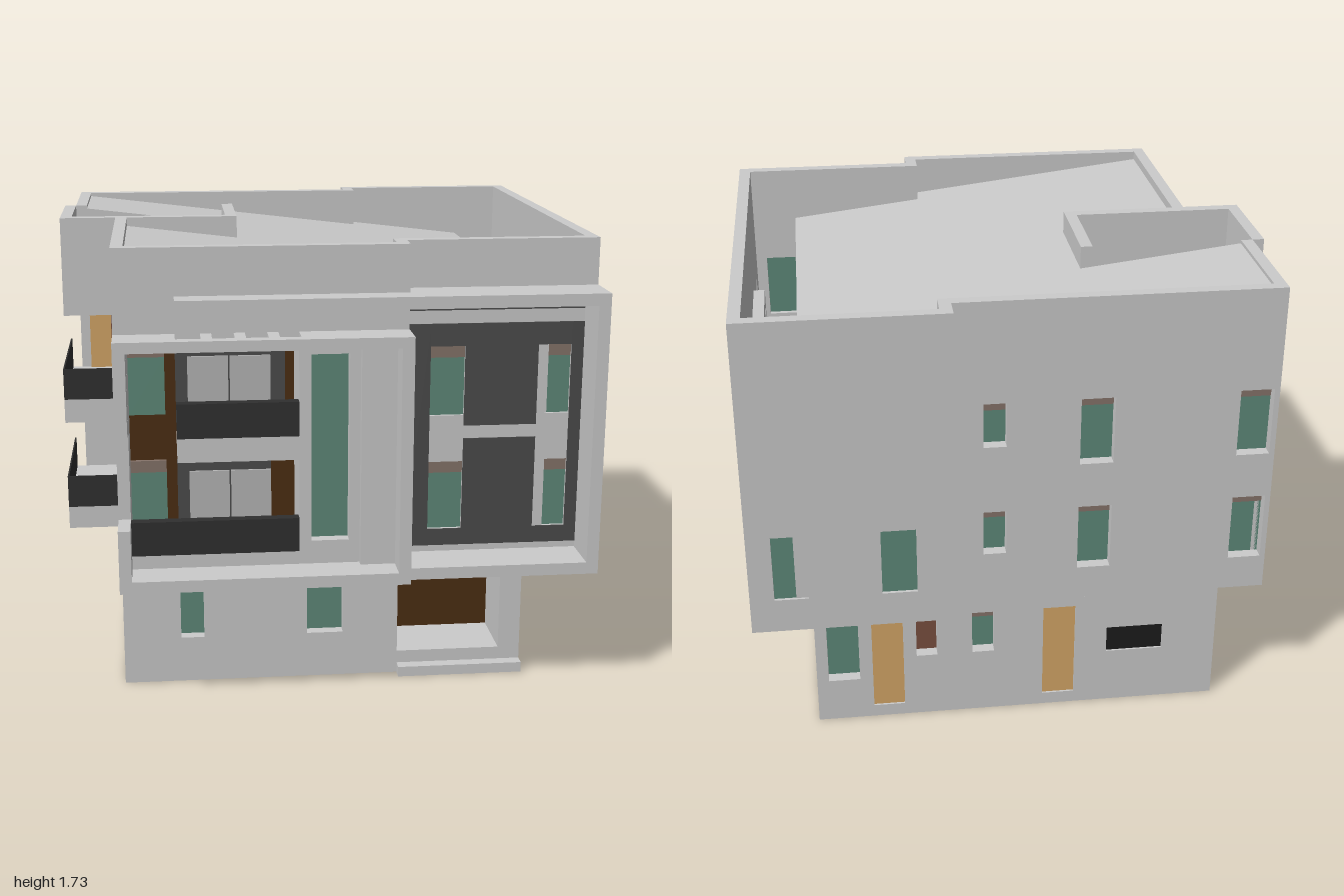
import * as THREE from 'three';

const GREY = 0xcccccc, GREEN = 0x5f8a7a, DARKGLASS = 0x2e3c38, BROWN = 0x4c2e12, JAMB = 0x86746a;
const TAN = 0xd6a868, RED = 0x7a5040, CHAR = 0x4c4c4c, RAIL = 0x303030, BLACK = 0x1c1c1c;
const FLUSH = [DARKGLASS, TAN, BLACK]; // panes set close to the wall face
const T = 0.045; // wall thickness

export function createModel() {
  const root = new THREE.Group();
  root.name = 'house';
  const mats = {};
  const mat = c => (mats[c] ??= new THREE.MeshStandardMaterial({ color: c }));

  function add(name, geo, color = GREY) {
    const m = new THREE.Mesh(geo, mat(color));
    m.name = name;
    root.add(m);
    return m;
  }
  // Box from min/max limits
  function box(name, x0, x1, y0, y1, z0, z1, color) {
    const g = new THREE.BoxGeometry(x1 - x0, y1 - y0, z1 - z0);
    g.translate((x0 + x1) / 2, (y0 + y1) / 2, (z0 + z1) / 2);
    return add(name, g, color);
  }
  // Wall with real openings. axis: normal axis, n: outward sign, pos: outer plane.
  // opening: [u0, u1, y0, y1, glass colour or null, strip side, strip colour]
  function wall(name, axis, n, pos, u0, u1, y0, y1, openings = [], reveal = T) {
    const s = axis === 'x' ? -1 : 1;
    const rect = (P, a, b, c, d) => {
      const p = new P();
      p.moveTo(a * s, c); p.lineTo(b * s, c); p.lineTo(b * s, d); p.lineTo(a * s, d); p.closePath();
      return p;
    };
    const shape = rect(THREE.Shape, u0, u1, y0, y1);
    for (const [a, b, c, d] of openings) shape.holes.push(rect(THREE.Path, a, b, c, d));
    const g = new THREE.ExtrudeGeometry(shape, { depth: T, bevelEnabled: false });
    if (axis === 'x') g.rotateY(Math.PI / 2);
    const off = n > 0 ? pos - T : pos;
    g.translate(axis === 'x' ? off : 0, 0, axis === 'z' ? off : 0);
    add(name, g);
    const pane = (label, a, b, c, d, color, depth) => {
      const p = pos - n * depth, q = p - n * 0.012;
      const lo = Math.min(p, q), hi = Math.max(p, q);
      if (axis === 'x') box(label, lo, hi, c, d, a, b, color);
      else box(label, a, b, c, d, lo, hi, color);
    };
    for (const [a, b, c, d, color, side, sc = JAMB] of openings) {
      if (color == null) continue;
      const depth = FLUSH.includes(color) ? 0.008 : reveal;
      pane('windowPane', a, b, c, d, color, depth);
      if (side === 't') pane('windowHead', a, b, d - T, d, sc, depth - 0.004);
      if (side === 'b') pane('windowSill', a, b, c, c + T, sc, depth - 0.004);
      if (side === 'l') pane('windowJamb', a, a + T, c, d, sc, depth - 0.004);
      if (side === 'r') pane('windowJamb', b - T, b, c, d, sc, depth - 0.004);
    }
  }

  // Ground floor walls
  wall('groundFrontWall', 'z', 1, 0.645, -0.78, 0.775, 0, 0.49, [
    [-0.56, -0.47, 0.18, 0.45, GREEN], [-0.07, 0.07, 0.18, 0.45, GREEN], [0.285, 0.69, 0.09, 0.45, null]]);
  wall('groundBackWall', 'z', -1, -0.865, -0.78, 0.775, 0, 0.49, [
    [0.61, 0.73, 0.18, 0.45, GREEN, 't'], [0.44, 0.56, 0.05, 0.45, TAN], [0.31, 0.39, 0.27, 0.45, RED, 't'],
    [0.09, 0.175, 0.27, 0.45, GREEN, 't'], [-0.225, -0.1, 0.05, 0.45, TAN], [-0.57, -0.35, 0.23, 0.34, BLACK]]);
  wall('groundLeftWall', 'x', 1, 0.775, -0.865 + T, 0.645 - T, 0, 0.49, [
    [0.2, 0.29, 0.27, 0.45, GREEN, 'l'], [-0.065, 0.07, 0.18, 0.45, GREEN, 'l'],
    [-0.33, -0.2, 0.18, 0.45, GREEN, 'l'], [-0.69, -0.55, 0.18, 0.45, GREEN]]);
  wall('groundRightWall', 'x', -1, -0.78, -0.865 + T, 0.645 - T, 0, 0.49);
  box('groundSlab', -0.735, 0.73, 0.045, 0.09, -0.82, 0.6);
  // Foundation ribs under the slab
  box('foundationRib', 0.09, 0.135, 0, 0.045, -0.82, 0.6);
  box('foundationRib', -0.735, 0.09, 0, 0.045, -0.32, -0.275);
  box('foundationRib', 0.135, 0.73, 0, 0.045, 0.27, 0.315);
  box('foundationRib', 0.135, 0.73, 0, 0.045, -0.1, -0.055);
  // Entrance recess and step
  box('entranceStep', 0.285, 0.775, 0, 0.04, 0.645, 0.69);
  box('entranceBack', 0.285, 0.73, 0.09, 0.49, 0.36, 0.4, BROWN);
  box('entranceSide', 0.24, 0.285, 0.09, 0.49, 0.36, 0.6);
  box('entranceSide', 0.69, 0.73, 0.09, 0.49, 0.4, 0.6);
  box('entranceDoor', 0.285, 0.295, 0.09, 0.4, 0.43, 0.56, TAN);

  // Slab carrying the upper floors
  for (const [x0, x1, z0, z1] of [[-0.955, 0.955, -0.865, -0.38], [-0.34, 0.955, -0.38, 0.02], [-0.78, 0.955, 0.02, 0.73],
    [0.24, 0.955, -0.955, -0.865], [-0.78, 0.285, 0.73, 0.82], [0.285, 1, 0.73, 0.91]])
    box('upperFloorSlab', x0, x1, 0.49, 0.535, z0, z1);

  // Upper back walls
  const lowHigh = (a, b, hi, lo) => [[a, b, ...hi, GREEN, 't'], [a, b, ...lo, GREEN, 't']];
  wall('upperBackWall', 'z', -1, -0.865, -0.955, 0.285, 0.535, 1.73, [
    ...lowHigh(0.045, 0.13, [1.16, 1.335], [0.71, 0.89]),
    ...lowHigh(-0.35, -0.225, [1.07, 1.335], [0.625, 0.89]),
    ...lowHigh(-0.935, -0.81, [1.07, 1.335], [0.625, 0.89])]);
  wall('upperBackBay', 'z', -1, -0.955, 0.24, 1, 0.535, 1.73, [
    [0.785, 0.91, 0.625, 0.89, GREEN, 'l', GREY], [0.385, 0.515, 0.625, 0.89, GREEN]], 0.012);
  box('bayCorner', 0.955, 1, 0.49, 0.535, -0.955, -0.91);
  box('backBayReturn', 0.24, 0.285, 0.535, 1.73, -0.91, -0.865);

  // Upper side walls
  const sideWindows = (a, b) => [[a, b, 1.07, 1.29, DARKGLASS, 'b', BLACK], [a, b, 0.625, 0.89, DARKGLASS, 'b', BLACK]];
  wall('upperLeftWall', 'x', 1, 1, -0.91, 0.73, 0.49, 1.73, [
    ...sideWindows(0.335, 0.555), ...sideWindows(-0.775, -0.55), [-0.38, 0.155, 0.491, 1.335, null]]);
  wall('recessedPanel', 'x', 1, 0.955, -0.42, 0.2, 0.535, 1.38, [
    [0.07, 0.155, 1.16, 1.335, GREEN, 'r'], [0.07, 0.155, 0.71, 0.89, GREEN, 'r'],
    ...lowHigh(-0.285, -0.2, [1.16, 1.335], [0.71, 0.89])], 0.012);
  for (const [y0, y1] of [[1.115, 1.29], [0.67, 0.89]])
    box('windowMullion', 0.98, 0.997, y0, y1, -0.735, -0.69);
  box('blindBox', 0.98, 0.997, 0.85, 0.89, 0.335, 0.51, 0x8a8a8a);
  wall('upperRightFrontWall', 'x', -1, -0.78, 0.02, 0.82, 0.535, 1.73, sideWindows(0.335, 0.555));
  wall('upperRightBackWall', 'x', -1, -0.955, -0.82, -0.38, 0.535, 1.73, sideWindows(-0.775, -0.55));

  // Upper front walls
  wall('upperFrontWall', 'z', 1, 0.82, -0.735, 0.285, 0.535, 1.73, [
    [-0.7349, -0.115, 0.536, 1.38, null], [-0.07, 0.07, 0.625, 1.335, GREEN]]);
  box('frontReturn', 0.24, 0.285, 0.535, 1.73, 0.685, 0.775);
  wall('upperFrontBay', 'z', 1, 0.73, 0.285, 0.955, 0.535, 1.73, [
    ...lowHigh(0.38, 0.51, [1.07, 1.335], [0.625, 0.89]),
    ...lowHigh(0.785, 0.91, [1.07, 1.335], [0.625, 0.89])], 0.012);
  // Dark cladding around the bay windows
  for (const [x0, x1] of [[0.285, 0.38], [0.91, 0.955]]) box('darkCladding', x0, x1, 0.56, 1.42, 0.73, 0.735, CHAR);
  for (const [y0, y1] of [[0.56, 0.98], [1.03, 1.42]]) box('darkCladding', 0.51, 0.785, y0, y1, 0.73, 0.735, CHAR);
  for (const [x0, x1] of [[0.38, 0.51], [0.785, 0.91]]) {
    box('darkCladding', x0, x1, 1.335, 1.42, 0.73, 0.735, CHAR);
    box('darkCladding', x0, x1, 0.56, 0.625, 0.73, 0.735, CHAR);
  }
  for (const [y0, y1] of [[0.625, 0.89], [1.07, 1.335]])
    box('windowMullion', 0.785, 0.825, y0, y1, 0.715, 0.727);
  box('claddingTop', 0.285, 0.955, 1.47, 1.51, 0.73, 0.735, CHAR);

  // Bay surround and canopy
  box('bayFin', 0.955, 1, 0.535, 1.51, 0.73, 0.91);
  box('canopy', 0.285, 1, 1.51, 1.555, 0.73, 0.91);
  box('canopy', -0.56, 0.285, 1.51, 1.555, 0.82, 0.91);

  // Projecting frame around the front balcony
  box('frameBottom', -0.78, 0.285, 0.49, 0.535, 0.82, 0.955);
  box('frameSide', 0.24, 0.285, 0.535, 1.42, 0.82, 0.955);
  box('frameSide', -0.78, -0.735, 0.535, 0.73, 0.82, 0.955);
  box('frameSide', -0.78, -0.735, 1.07, 1.42, 0.82, 0.955);
  box('frameTop', -0.735, 0.24, 1.38, 1.42, 0.91, 0.955);
  box('frameTop', -0.735, -0.56, 1.38, 1.42, 0.82, 0.91);
  box('frameTop', -0.115, 0.24, 1.38, 1.42, 0.82, 0.91);
  for (let i = 0; i < 3; i++) box('pergolaBar', -0.47 + i * 0.12, -0.43 + i * 0.12, 1.38, 1.42, 0.82, 0.91);
  box('framePier', 0.11, 0.24, 0.535, 1.38, 0.82, 0.85);

  // Front balcony interior
  box('balconyBackWall', -0.735, -0.115, 0.535, 1.38, 0.56, 0.6, BROWN);
  box('balconySideWall', -0.115, -0.08, 0.535, 1.38, 0.56, 0.775);
  box('balconyCeiling', -0.735, -0.08, 1.38, 1.42, 0.56, 0.775);
  box('balconySlab', -0.56, -0.115, 0.94, 1.03, 0.6, 0.82);
  box('balconyRail', -0.56, -0.115, 1.03, 1.16, 0.78, 0.82, RAIL);
  box('balconyRail', -0.735, -0.115, 0.585, 0.715, 0.78, 0.82, RAIL);
  box('balconyKerb', -0.735, -0.115, 0.535, 0.585, 0.775, 0.82);
  for (const [y, fx] of [[1.03, -0.15], [0.585, -0.205]]) {
    box('balconyDoorFrame', -0.56, fx, y, y + 0.305, 0.6, 0.61, CHAR);
    for (const x of [-0.515, -0.357]) box('balconyDoorLeaf', x, x + 0.152, y, y + 0.26, 0.61, 0.618, 0xb8b8b8);
    box('balconyWindow', -0.735, -0.6, y + 0.04, y + 0.26, 0.6, 0.615, GREEN);
    box('balconyWindowHead', -0.735, -0.6, y + 0.26, y + 0.305, 0.6, 0.615, JAMB);
  }

  // Side balconies
  for (const [y0, y1, r] of [[0.49, 0.58, 0.71], [0.935, 1.03, 1.155]]) {
    box('sideBalconySlab', -1, -0.34, y0, y1, -0.38, 0.02);
    box('sideBalconySlab', -1, -0.78, y0, y1, 0.02, 0.2);
    box('sideBalconyRail', -1, -0.994, y1, r, -0.38, 0.2, RAIL);
    box('sideBalconyRail', -0.994, -0.78, y1, r, 0.194, 0.2, RAIL);
    box('sideBalconyDoor', -0.74, -0.62, y1, y1 + 0.29, -0.032, -0.025, TAN);
    box('sideBalconyWindow', -0.355, -0.337, y1 + 0.08, y1 + 0.29, -0.27, -0.12, GREEN);
  }
  box('sideDoorFrame', -0.915, -0.76, 1.03, 1.335, -0.38, -0.372, RED);
  box('sideDoor', -0.915, -0.825, 1.03, 1.29, -0.372, -0.366, TAN);
  box('sideBalconyBackWall', -0.955, -0.295, 0.535, 1.485, -0.42, -0.38);
  box('sideBalconyFrontWall', -0.78, -0.295, 0.535, 1.73, -0.025, 0.02);
  box('sideBalconyInnerWall', -0.34, -0.295, 0.535, 1.73, -0.38, -0.025);

  // Sunken roof terrace above the side balconies
  box('terraceFloor', -0.955, -0.34, 1.335, 1.38, -0.38, -0.025);
  box('terraceParapet', -1, -0.955, 1.335, 1.73, -0.38, 0.02);
  box('terraceParapet', -0.955, -0.78, 1.335, 1.73, -0.025, 0.02);
  for (const [cx, s] of [[-0.78, 1], [-0.515, -1]]) {
    const x = (a, b) => (s > 0 ? [cx + a, cx + b] : [cx - b, cx - a]);
    box('chairSeat', ...x(-0.09, 0.085), 1.45, 1.48, -0.29, -0.165, BLACK);
    box('chairBack', ...x(-0.09, 0.04), 1.48, 1.58, -0.335, -0.29, BLACK);
    box('chairArm', ...x(-0.09, -0.06), 1.48, 1.54, -0.29, -0.165, BLACK);
    for (const lx of [-0.085, 0.06]) for (const z of [-0.285, -0.185])
      box('chairLeg', ...x(lx, lx + 0.015), 1.38, 1.45, z, z + 0.015, BLACK);
  }

  // Roof falling towards the left, open along the left light well
  for (const [x0, x1, z0, z1] of [[-0.91, 0.775, -0.82, -0.38], [-0.295, 0.775, -0.38, 0.02],
    [-0.735, 0.775, 0.02, 0.685], [0.285, 0.775, -0.91, -0.82], [-0.735, 0.24, 0.685, 0.775]]) {
    const g = box('roof', x0, x1, 1.485, 1.515, z0, z1).geometry, p = g.attributes.position;
    for (let i = 0; i < p.count; i++)
      if (p.getY(i) > 1.5) p.setY(i, 1.515 + (0.775 - p.getX(i)) * 0.12);
    g.computeVertexNormals();
  }

  return root;
}
